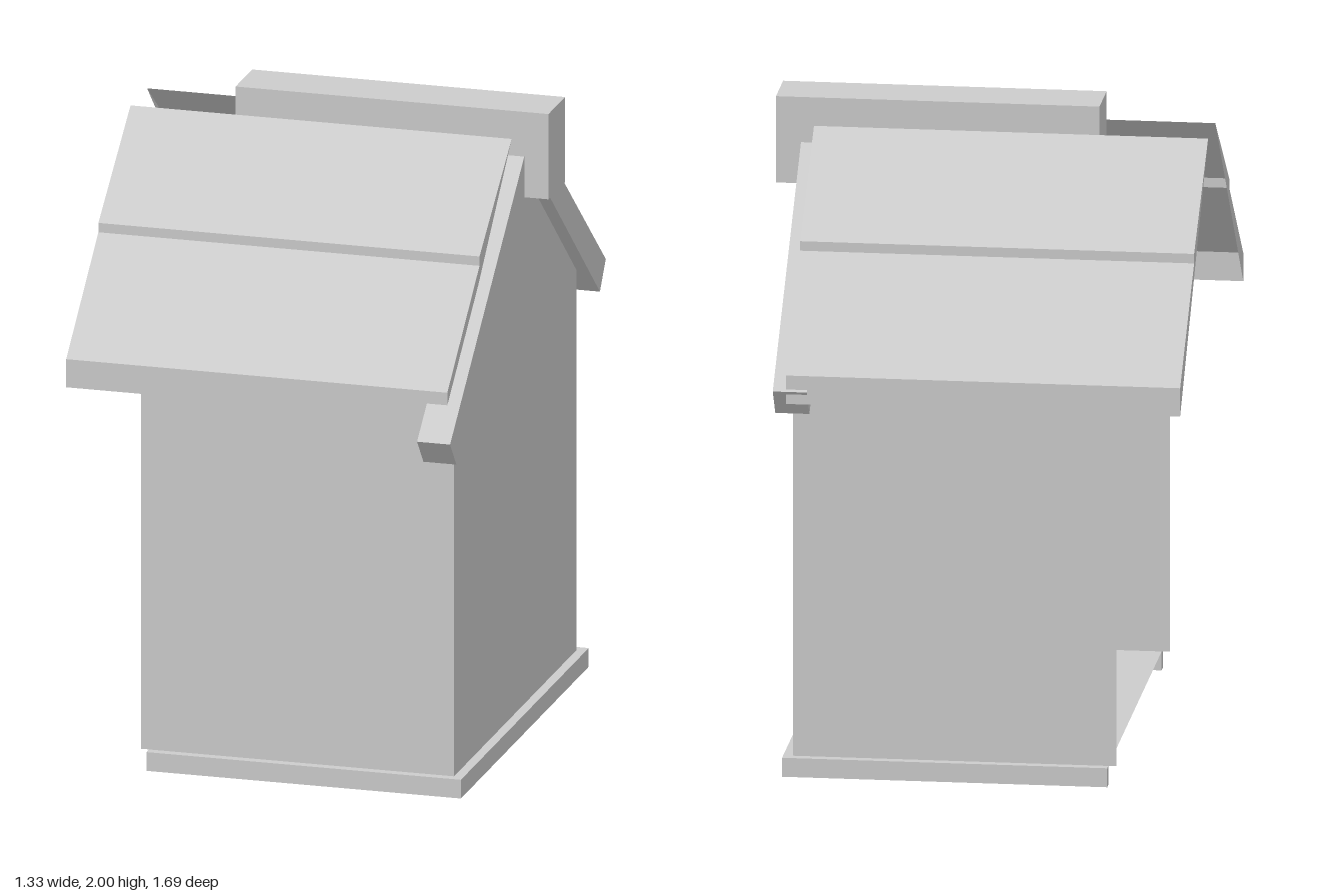
import * as THREE from 'three';

const material = new THREE.MeshStandardMaterial({ color: 0xcccccc, flatShading: true, side: THREE.DoubleSide });
const RIDGE_Z = -0.05; // the roof is symmetric about this plane
const mirror = ([z, y]) => [2 * RIDGE_Z - z, y];

function add(group, name, geometry) {
  const mesh = new THREE.Mesh(geometry, material);
  mesh.name = name;
  group.add(mesh);
  return mesh;
}

// Box given by its limits on each axis
function box(x0, x1, y0, y1, z0, z1) {
  return new THREE.BoxGeometry(x1 - x0, y1 - y0, z1 - z0)
    .translate((x0 + x1) / 2, (y0 + y1) / 2, (z0 + z1) / 2);
}

// Open sheet: a [z, y] profile swept from x0 to x1
function sheet(profile, x0, x1) {
  const pos = [];
  for (let i = 0; i < profile.length - 1; i++) {
    const [pz, py] = profile[i], [qz, qy] = profile[i + 1];
    pos.push(x0, py, pz, x0, qy, qz, x1, qy, qz, x0, py, pz, x1, qy, qz, x1, py, pz);
  }
  const geometry = new THREE.BufferGeometry();
  geometry.setAttribute('position', new THREE.Float32BufferAttribute(pos, 3));
  geometry.computeVertexNormals();
  return geometry;
}

const outline = (points) => new THREE.Shape(points.map(([z, y]) => new THREE.Vector2(z, y)));

// Flat [z, y] panel facing -x or +x
const panel = (points, x) =>
  new THREE.ShapeGeometry(outline(points)).rotateY(-Math.PI / 2).translate(x, 0, 0);

// Solid [z, y] outline between x0 and x1
const slab = (points, x0, x1) =>
  new THREE.ExtrudeGeometry(outline(points), { depth: x1 - x0, bevelEnabled: false })
    .rotateY(-Math.PI / 2).translate(x1, 0, 0);

export function createModel() {
  const model = new THREE.Group();
  model.name = 'gabledHouse';

  // Walls: front, back and one gable; the other side is open
  const x0 = -0.45, x1 = 0.545, zw = 0.667, base = 0.06, eave = 1.28;
  add(model, 'frontWall', sheet([[zw, eave], [zw, base]], x0, x1));
  add(model, 'backWall', sheet([[-zw, base], [-zw, eave]], x0, x1));
  add(model, 'gableWall', panel([[-zw, base], [zw, base], [zw, eave], [RIDGE_Z, 1.86], [-zw, eave]], x1));
  add(model, 'floor', sheet([[-zw, base], [zw, base]], -0.425, x1));

  // Skirting round the three closed sides
  add(model, 'frontSkirting', box(-0.425, 0.575, 0, base, zw, 0.695));
  add(model, 'backSkirting', box(-0.425, 0.575, 0, base, -0.695, -zw));
  add(model, 'gableSkirting', box(x1, 0.575, 0, base, -zw, zw));

  // Stepped roof sheets with closed ends
  const steps = [[0.04, 1.91], [0.39, 1.64], [0.39, 1.61], [0.74, 1.31], [0.74, 1.22]];
  const sides = { front: steps, back: steps.map(mirror).reverse() };
  for (const [side, profile] of Object.entries(sides)) {
    add(model, side + 'Roof', sheet(profile, -0.667, x1));
    for (const x of [-0.667, x1]) add(model, side + 'RoofEnd', panel(profile, x));
  }

  // Sloping bargeboards on the gable, the front one longer
  add(model, 'bargeboards', slab([
    [0.04, 1.857], [0.847, 1.18], [0.778, 1.095], [0.04, 1.727],
    [-0.14, 1.727], [-0.783, 1.175], [-0.847, 1.26], [-0.14, 1.857],
  ], 0.48, 0.585));

  // Ridge beam
  add(model, 'ridgeBeam', box(-0.333, 0.662, 1.727, 2, -0.14, 0.04));

  return model;
}
